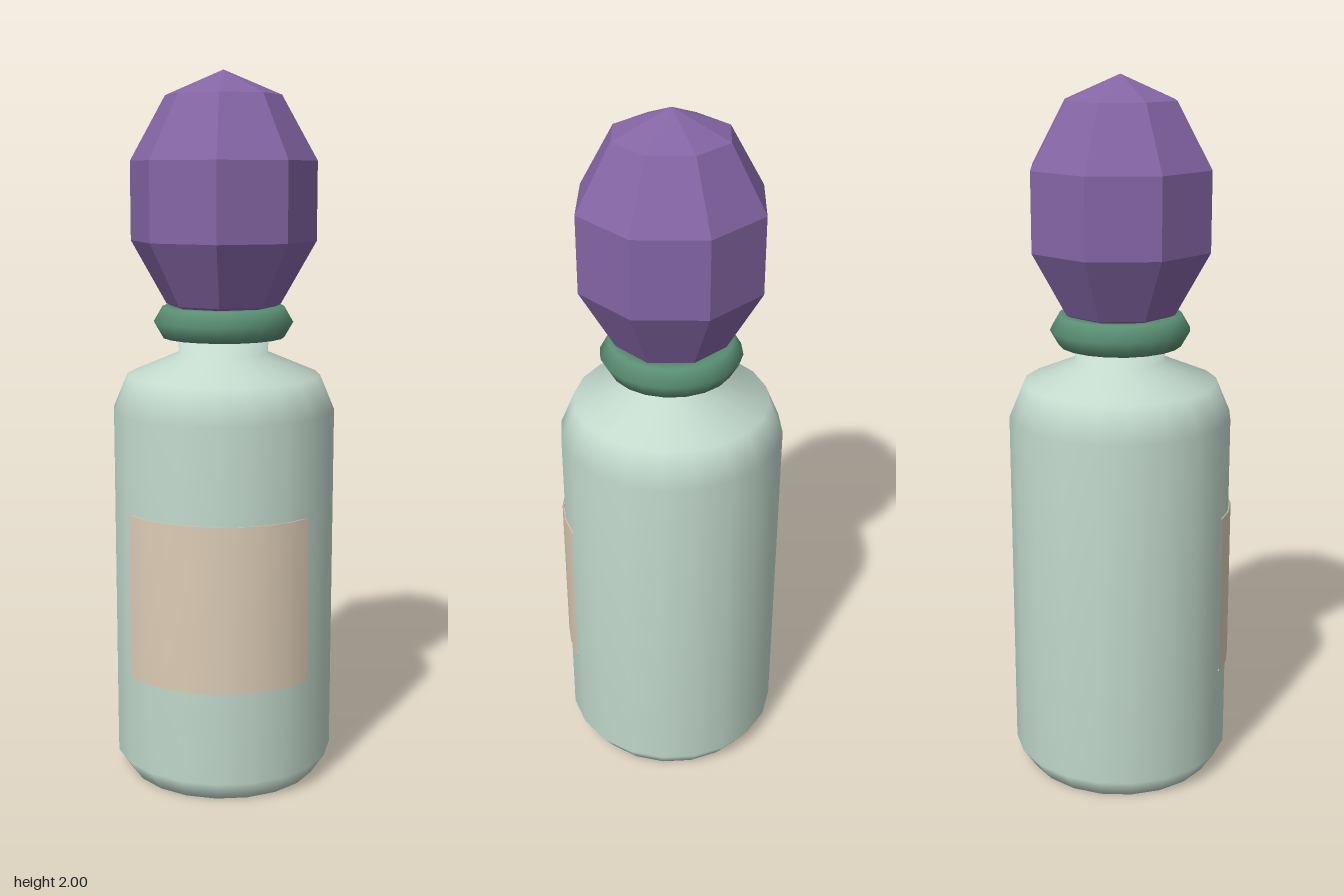
import * as THREE from 'three';

const mat = (name, color, opts = {}) => {
  const m = new THREE.MeshStandardMaterial({ color, ...opts });
  m.name = name;
  return m;
};
const profile = (pts) => pts.map(([r, y]) => new THREE.Vector2(r, y));

export function createModel() {
  const group = new THREE.Group();
  group.name = 'perfumeBottle';

  const add = (name, geometry, material, y = 0) => {
    const mesh = new THREE.Mesh(geometry, material);
    mesh.name = name;
    mesh.position.set(0, y, -0.003);
    group.add(mesh);
    return mesh;
  };

  // Bottle body with bevelled foot, sloped shoulder and short neck
  add('bottleBody', new THREE.LatheGeometry(profile([
    [0, 0], [0.275, 0], [0.315, 0.06], [0.315, 1.065],
    [0.274, 1.163], [0.127, 1.225], [0.127, 1.3], [0, 1.3],
  ]), 20), mat('pale green glass', 0xc2d9cc));

  // Thin label wrapped round the front, softly shaded over its rims
  const arc = 1.766;
  add('label', new THREE.LatheGeometry(profile([
    [0.3145, 0.325], [0.32, 0.325], [0.32, 0.795], [0.3145, 0.795],
  ]), 8, -arc / 2, arc), mat('cream paper', 0xdccbb5, { side: THREE.DoubleSide }));

  // Six-sided ring round the neck
  const collar = new THREE.TorusGeometry(0.147, 0.05, 6, 20);
  collar.rotateX(-Math.PI / 2);
  add('collar', collar, mat('deep green', 0x5a8f73), 1.312);

  // Faceted stopper
  const gem = new THREE.SphereGeometry(1, 8, 5);
  gem.scale(0.2735, 0.353, 0.2735);
  add('stopper', gem, mat('purple crystal', 0x8465a4, { flatShading: true }), 1.647);

  return group;
}
